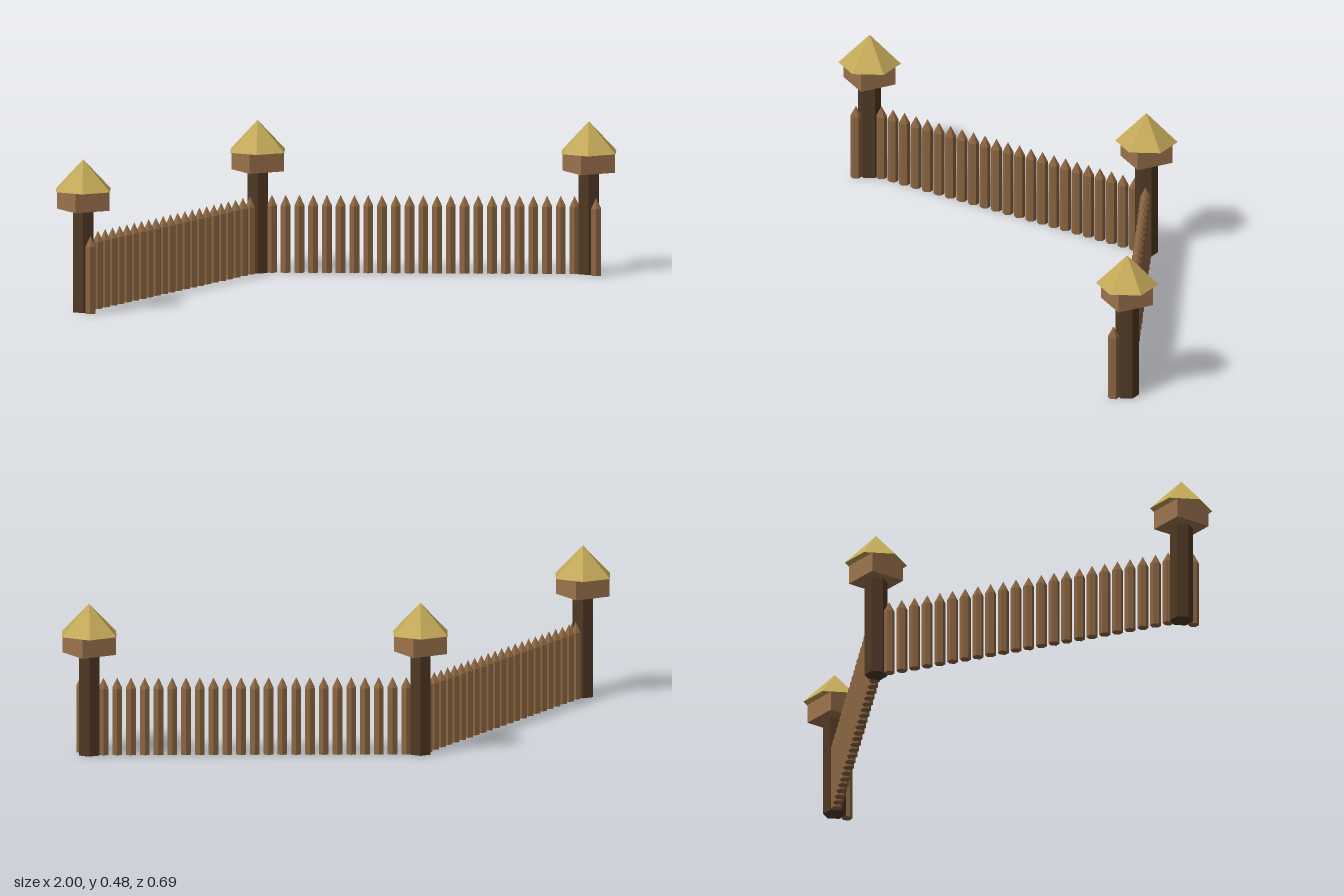
import * as THREE from 'three';

const material = (name, color) => {
  const m = new THREE.MeshStandardMaterial({ color, flatShading: true });
  m.name = name;
  return m;
};

export function createModel() {
  const darkWood = material('dark wood', 0x4f3824);
  const stakeWood = material('stake wood', 0x8b6541);
  const boardWood = material('board wood', 0x9c744e);
  const thatch = material('thatch', 0xc2a858);

  const model = new THREE.Group();
  model.name = 'palisade';

  // Six-sided column or cone with corners on the x axis, standing on y
  const hex = (top, bottom, height, y) =>
    new THREE.CylinderGeometry(top, bottom, height, 6).rotateY(Math.PI / 6).translate(0, y + height / 2, 0);

  const add = (group, name, geometry, mat) => {
    const mesh = new THREE.Mesh(geometry, mat);
    mesh.name = name;
    group.add(mesh);
  };

  // Towers: post, boarded lookout and pointed thatched roof
  const postGeo = hex(0.0365, 0.0365, 0.323, 0);
  const lookoutGeo = new THREE.BoxGeometry(0.122, 0.063, 0.122).translate(0, 0.3545, 0);
  const roofGeo = hex(0, 0.0985, 0.098, 0.385);
  const corners = [[-0.9015, 0.26], [0, -0.26], [0.9015, 0.26]];
  for (const [x, z] of corners) {
    const tower = new THREE.Group();
    tower.name = 'tower';
    tower.position.set(x, 0, z);
    add(tower, 'post', postGeo, darkWood);
    add(tower, 'lookout', lookoutGeo, boardWood);
    add(tower, 'roof', roofGeo, thatch);
    model.add(tower);
  }

  // Sharpened stakes
  const shaftGeo = hex(0.0175, 0.0175, 0.212, 0);
  const tipGeo = hex(0, 0.0175, 0.034, 0.212);
  const addStake = (parent, x, z) => {
    const stake = new THREE.Group();
    stake.name = 'stake';
    stake.position.set(x, 0, z);
    add(stake, 'shaft', shaftGeo, stakeWood);
    add(stake, 'tip', tipGeo, stakeWood);
    parent.add(stake);
  };

  // Two mirrored walls, each with a lone stake in front of its outer tower
  const count = 23;
  for (const side of [-1, 1]) {
    const wall = new THREE.Group();
    wall.name = side > 0 ? 'leftWall' : 'rightWall';
    for (let i = 0; i < count; i++) {
      const t = 0.043 + (0.914 * i) / (count - 1);
      addStake(wall, side * 0.9015 * t, -0.26 + 0.52 * t);
    }
    addStake(wall, side * 0.9015, 0.308);
    model.add(wall);
  }
  return model;
}
